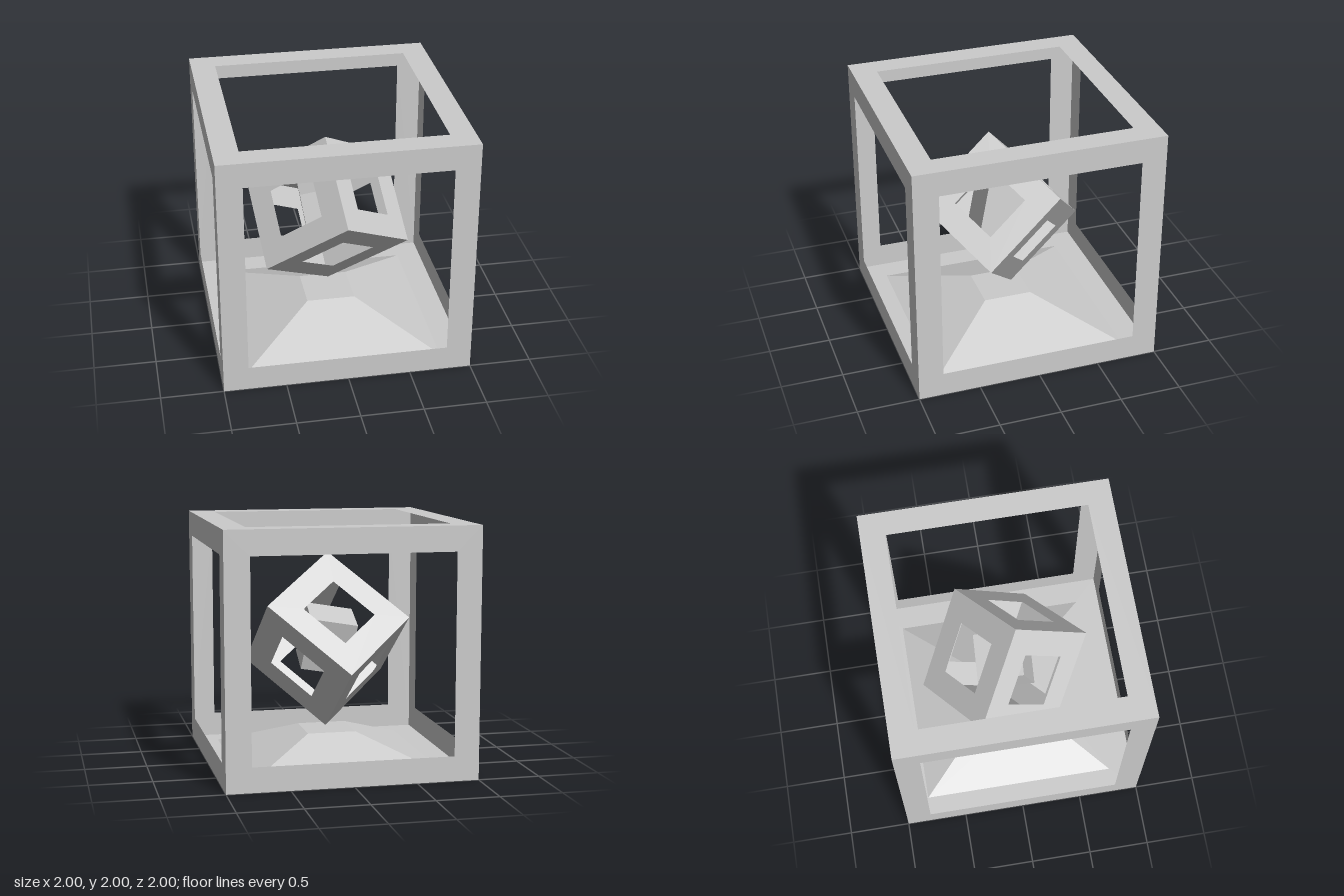
import * as THREE from 'three';

const material = new THREE.MeshStandardMaterial({ color: 0xcccccc, flatShading: true, side: THREE.DoubleSide });

// Square outline of the given half width
function square(PathType, h) {
  const p = new PathType();
  p.moveTo(-h, -h);
  p.lineTo(h, -h);
  p.lineTo(h, h);
  p.lineTo(-h, h);
  p.closePath();
  return p;
}

// Unit cube shell made of six thin panels, each with a square window
function windowedShell(name, windowRatio) {
  const shape = square(THREE.Shape, 0.5);
  shape.holes.push(square(THREE.Path, 0.5 * windowRatio));
  const geometry = new THREE.ShapeGeometry(shape);
  const group = new THREE.Group();
  group.name = name;
  const turns = [[0, 0], [0, 1], [0, 2], [0, 3], [1, 0], [-1, 0]];
  for (const [rx, ry] of turns) {
    const panel = new THREE.Mesh(geometry, material);
    panel.name = name + 'Panel';
    panel.rotation.set(rx * Math.PI / 2, ry * Math.PI / 2, 0);
    panel.position.set(0, 0, 0.5).applyEuler(panel.rotation);
    group.add(panel);
  }
  return group;
}

// Turn an object so its local x and y axes follow the two directions
function orient(object, xDir, yDir) {
  const x = new THREE.Vector3(...xDir).normalize();
  const y = new THREE.Vector3(...yDir);
  const z = x.clone().cross(y).normalize();
  y.crossVectors(z, x);
  object.quaternion.setFromRotationMatrix(new THREE.Matrix4().makeBasis(x, y, z));
}

export function createModel() {
  const model = new THREE.Group();
  model.name = 'nestedCubes';

  // Outer cube with wide windows
  const outer = windowedShell('outerFrame', 0.8);
  outer.scale.setScalar(2);
  outer.position.y = 1;
  model.add(outer);

  // Low truncated pyramid rising from the bottom window
  const sides = new THREE.CylinderGeometry(0.2 * Math.SQRT2, 0.8 * Math.SQRT2, 0.25, 4, 1, true);
  sides.rotateY(Math.PI / 4);
  const floor = new THREE.Mesh(sides, material);
  floor.name = 'floorSlopes';
  floor.position.y = 0.125;
  model.add(floor);

  const cap = new THREE.Mesh(new THREE.PlaneGeometry(0.4, 0.4), material);
  cap.name = 'floorTop';
  cap.rotation.x = -Math.PI / 2;
  cap.position.y = 0.25;
  model.add(cap);

  // Tilted middle cube with half-width windows
  const middle = windowedShell('middleFrame', 0.5);
  middle.scale.set(0.803, 0.803, 0.873);
  middle.position.y = 1;
  orient(middle, [0.578, -0.38, -0.406], [-0.074, 0.524, -0.604]);
  model.add(middle);

  // Solid block at the centre
  const core = new THREE.Mesh(new THREE.BoxGeometry(0.39, 0.44, 0.385), material);
  core.name = 'coreBlock';
  core.position.y = 1;
  orient(core, [0.382, 0.064, 0.021], [-0.065, 0.421, -0.105]);
  model.add(core);

  return model;
}
